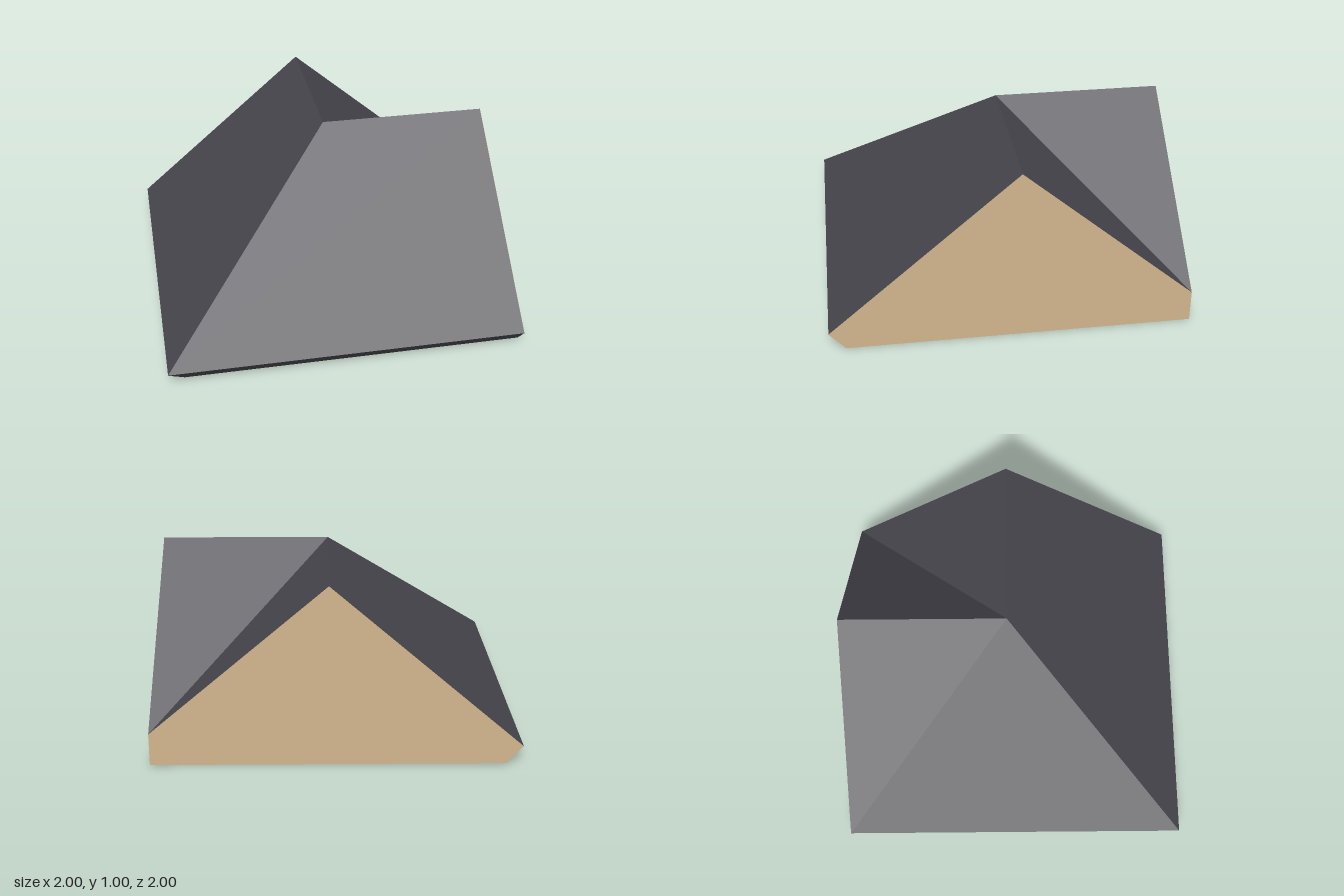
import * as THREE from 'three';

// Corner points of the L-shaped roof corner
const P = {
  peak: [0.04, 1, -0.04], ridgeRight: [1, 1, -0.04], ridgeBack: [0.04, 1, -1],
  valley: [1, 0.18, -1],
  eaveCorner: [-1, 0.1, 1], eaveRight: [1, 0.1, 1], eaveBack: [-1, 0.1, -1],
  baseCorner: [-0.91, 0, 0.91], baseRight: [1, 0, 0.91], baseBack: [-0.91, 0, -1],
  baseInner: [1, 0, -1],
};

// Flat convex face, corners counter-clockwise from outside
function face(name, material, corners) {
  const pos = [];
  for (let i = 1; i < corners.length - 1; i++) {
    for (const c of [corners[0], corners[i], corners[i + 1]]) pos.push(...P[c]);
  }
  const geo = new THREE.BufferGeometry();
  geo.setAttribute('position', new THREE.Float32BufferAttribute(pos, 3));
  geo.computeVertexNormals();
  const mesh = new THREE.Mesh(geo, material);
  mesh.name = name;
  return mesh;
}

export function createModel() {
  const slate = new THREE.MeshStandardMaterial({ color: 0x47464d });
  slate.name = 'slate';
  const wood = new THREE.MeshStandardMaterial({ color: 0xd2b48c });
  wood.name = 'wood';

  const model = new THREE.Group();
  model.name = 'roofCorner';
  model.add(
    // Outer slopes meeting at the hip
    face('frontSlope', slate, ['eaveCorner', 'eaveRight', 'ridgeRight', 'peak']),
    face('sideSlope', slate, ['eaveBack', 'eaveCorner', 'peak', 'ridgeBack']),
    // Inner slopes meeting in the valley
    face('innerBackSlope', slate, ['peak', 'ridgeRight', 'valley']),
    face('innerSideSlope', slate, ['peak', 'valley', 'ridgeBack']),
    // Bevelled eave edges
    face('frontEave', slate, ['baseCorner', 'baseRight', 'eaveRight', 'eaveCorner']),
    face('sideEave', slate, ['baseBack', 'baseCorner', 'eaveCorner', 'eaveBack']),
    // Wooden cut ends and underside
    face('leftGable', wood, ['baseRight', 'baseInner', 'valley', 'ridgeRight', 'eaveRight']),
    face('backGable', wood, ['baseInner', 'baseBack', 'eaveBack', 'ridgeBack', 'valley']),
    face('underside', wood, ['baseCorner', 'baseBack', 'baseInner', 'baseRight']),
  );
  return model;
}
